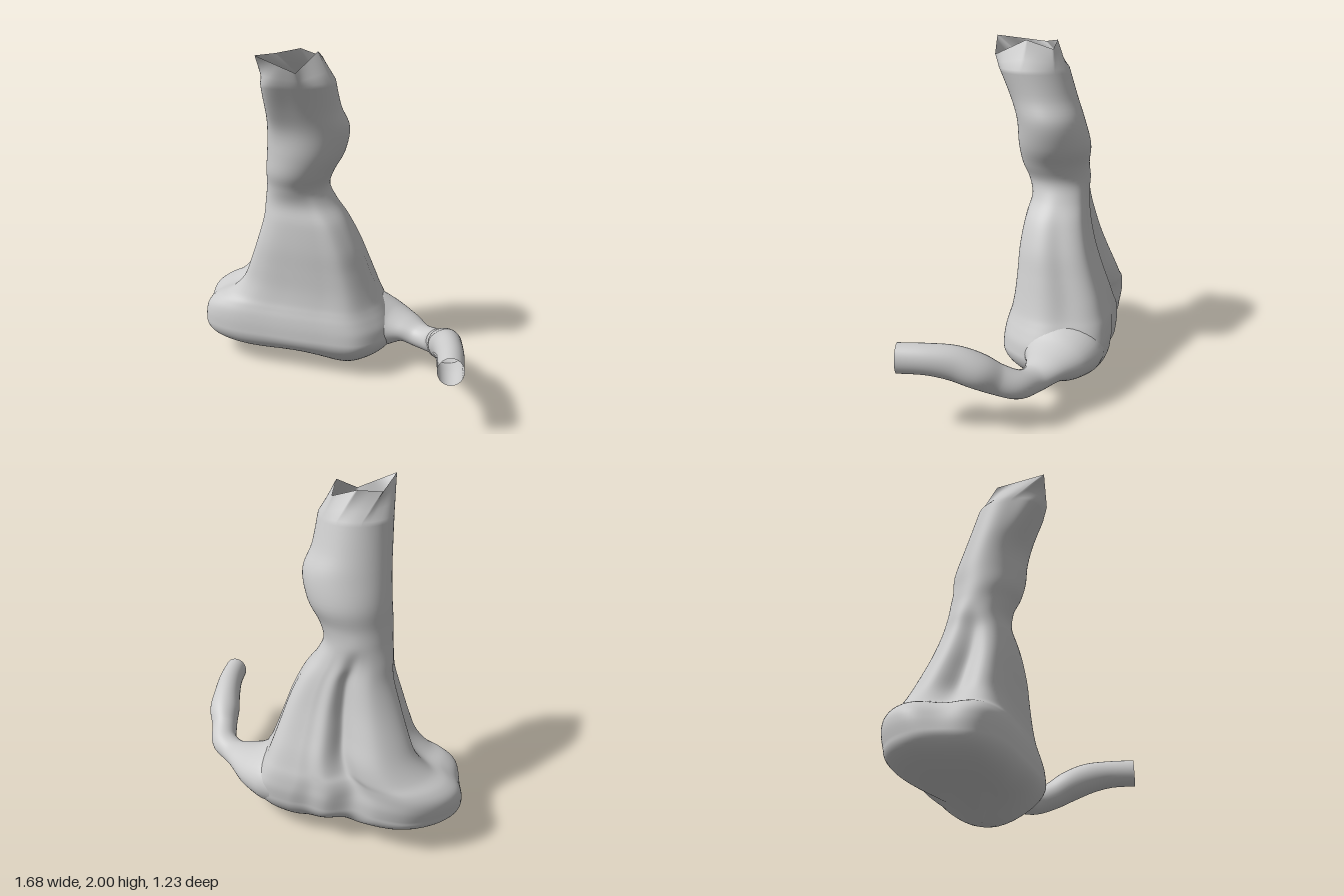
import * as THREE from 'three';

const SEG = 140;
const TAU = Math.PI * 2;
const { clamp, lerp, smoothstep } = THREE.MathUtils;

// Body levels from low to high: y, xMin, xMax, zBack, zFront, roundness (1 = ellipse), fold depth
const LEVELS = [
  [0.24, -0.84, 0.42, -0.598, 0.115, 0, 0.03],
  [0.31, -0.845, 0.41, -0.612, 0.108, 0, 0.07],
  [0.37, -0.83, 0.385, -0.615, 0.095, 0.02, 0.11],
  [0.42, -0.775, 0.36, -0.61, 0.08, 0.05, 0.15],
  [0.47, -0.68, 0.335, -0.595, 0.068, 0.1, 0.2],
  [0.56, -0.595, 0.30, -0.565, 0.055, 0.15, 0.25],
  [0.68, -0.54, 0.255, -0.515, 0.045, 0.2, 0.26],
  [0.82, -0.485, 0.20, -0.46, 0.035, 0.25, 0.23],
  [0.97, -0.43, 0.12, -0.415, 0.01, 0.4, 0.16],
  [1.08, -0.41, 0.04, -0.39, -0.025, 0.7, 0.07],
  [1.18, -0.39, -0.005, -0.38, -0.01, 1, 0],
  [1.28, -0.385, 0.025, -0.37, 0.03, 1, 0],
  [1.40, -0.375, 0.09, -0.375, 0.05, 1, 0],
  [1.55, -0.365, 0.12, -0.335, 0.06, 1, 0],
  [1.68, -0.36, 0.075, -0.29, 0.10, 1, 0],
  [1.84, -0.355, 0.05, -0.24, 0.165, 1, 0],
];

// Outline of the wide foot, x and z, turning from +x towards +z
const FOOT = [
  [0.47, -0.15], [0.39, 0.0], [0.24, 0.1], [0, 0.09], [-0.3, 0.055], [-0.6, 0.01], [-0.77, -0.07],
  [-0.84, -0.22], [-0.83, -0.4], [-0.7, -0.54], [-0.53, -0.61], [-0.35, -0.6], [-0.2, -0.56],
  [-0.04, -0.575], [0.08, -0.54], [0.2, -0.53], [0.37, -0.465], [0.45, -0.31],
];

// Torn neck rim: share of the turn, then x, y, z
const RIM = [
  [0, -0.04, 2.0, 0], [0.18, -0.13, 1.91, 0.185], [0.37, -0.345, 2.0, 0.195],
  [0.6, -0.3, 1.97, -0.1], [0.75, -0.17, 1.99, -0.17], [0.88, -0.04, 1.95, -0.15], [1, -0.04, 2.0, 0],
];

// Smooth interpolation along a list of number rows
function sampleRows(rows, t) {
  const i = Math.min(Math.floor(t), rows.length - 2), f = t - i;
  const row = k => rows[clamp(k, 0, rows.length - 1)];
  const [a, b, c, d] = [row(i - 1), row(i), row(i + 1), row(i + 2)];
  return b.map((v, k) => v + 0.5 * f * (c[k] - a[k]
    + f * (2 * a[k] - 5 * v + 4 * c[k] - d[k] + f * (3 * (v - c[k]) + d[k] - a[k]))));
}

// Skin over a list of closed rings, ordered upwards
function skin(rings) {
  const pos = [], index = [], n = rings[0].length;
  rings.forEach(r => r.forEach(p => pos.push(p.x, p.y, p.z)));
  for (let j = 0; j < rings.length - 1; j++) {
    for (let i = 0; i < n; i++) {
      const a = j * n + i, b = j * n + (i + 1) % n;
      index.push(a, a + n, b, b, a + n, b + n);
    }
  }
  const g = new THREE.BufferGeometry();
  g.setAttribute('position', new THREE.Float32BufferAttribute(pos, 3));
  g.setIndex(index);
  g.computeVertexNormals();
  return g;
}

// Foot outline scaled to a -1..1 square
const outline = new THREE.CatmullRomCurve3(
  FOOT.map(([x, z]) => new THREE.Vector3((x + 0.185) / 0.655, 0, (z + 0.255) / 0.355)), true);

const bump = (angle, centre, width) => {
  const d = Math.atan2(Math.sin(angle - centre), Math.cos(angle - centre));
  return Math.exp(-((d / width) ** 2));
};

function levelRing(t) {
  const [y, x0, x1, z0, z1, round, fold] = sampleRows(LEVELS, t);
  return Array.from({ length: SEG }, (_, i) => {
    const p = outline.getPoint(i / SEG);
    p.lerp(p.clone().normalize(), clamp(round, 0, 1));
    const a = Math.atan2(p.z, p.x);
    // Hanging folds: deep back groove, shallow right-back hollow, lobe hollow, side panel dip
    const dent = 1.35 * bump(a, -1.58, 0.23) + 0.4 * bump(a, -0.95, 0.3)
      + 0.8 * bump(a, Math.PI, 0.35) + 0.25 * bump(a, 0.05, 0.3);
    // Front corner that sharpens towards the top of the neck
    const corner = 0.22 * smoothstep(y, 1.45, 1.84) * bump(a, 2.3, 0.4);
    p.multiplyScalar(1 - fold * dent + corner);
    return new THREE.Vector3((x0 + x1) / 2 + p.x * (x1 - x0) / 2, y, (z0 + z1) / 2 + p.z * (z1 - z0) / 2);
  });
}

function rimRing() {
  return Array.from({ length: SEG }, (_, i) => {
    const u = i / SEG;
    const k = RIM.findIndex(r => r[0] > u);
    const a = RIM[k - 1], b = RIM[k], f = (u - a[0]) / (b[0] - a[0]);
    return new THREE.Vector3(...[1, 2, 3].map(c => lerp(a[c], b[c], f)));
  });
}

// Uneven underside, lowest under the +x half
const underside = (x, z) => 0.09
  - 0.09 * Math.exp(-(((x - 0.12) / 0.2) ** 2) - ((z + 0.2) / 0.25) ** 2)
  + 0.2 * (z + 0.2) ** 2;

function bodyGeometry() {
  const rings = [], base = levelRing(0), steps = 20;
  // Rounded bottom, fuller under the -x lobe
  for (let k = 0; k < steps; k++) {
    const a = (1 - k / steps) * Math.PI / 2;
    rings.push(base.map(p => {
      const s = Math.max(0, Math.cos(a)) ** lerp(0.36, 0.58, smoothstep(p.x, -0.8, 0));
      const x = 0.05 + (p.x - 0.05) * s, z = -0.22 + (p.z + 0.22) * s;
      return new THREE.Vector3(x, lerp(p.y, underside(x, z), Math.sin(a)), z);
    }));
  }
  // Draped sides and neck
  const n = (LEVELS.length - 1) * 5;
  for (let k = 0; k <= n; k++) rings.push(levelRing(k / 5));
  // Open torn rim
  const last = rings[rings.length - 1], rim = rimRing();
  for (const f of [0.35, 0.7, 1]) rings.push(last.map((p, i) => p.clone().lerp(rim[i], f)));
  return skin(rings);
}

// Spout path, flared into the body: x, y, z, half width, half height
const SPOUT = [
  [0.22, 0.265, -0.22, 0.27, 0.2], [0.31, 0.265, -0.215, 0.25, 0.172], [0.4, 0.265, -0.195, 0.195, 0.128],
  [0.5, 0.268, -0.15, 0.13, 0.083], [0.59, 0.25, -0.09, 0.085, 0.072],
  [0.68, 0.265, -0.01, 0.08, 0.078], [0.71, 0.31, 0.1, 0.08, 0.085], [0.735, 0.37, 0.2, 0.096, 0.095],
  [0.75, 0.42, 0.32, 0.085, 0.095], [0.765, 0.445, 0.46, 0.077, 0.085], [0.77, 0.448, 0.615, 0.072, 0.083],
];

function spoutGeometry() {
  const rings = [], n = 70, seg = 36, up = new THREE.Vector3(0, 1, 0);
  const at = t => sampleRows(SPOUT, clamp(t, 0, 1) * (SPOUT.length - 1));
  const centre = t => new THREE.Vector3(...at(t).slice(0, 3));
  for (let k = 0; k <= n; k++) {
    const t = k / n, [, , , width, height] = at(t);
    const dir = centre(t + 0.01).sub(centre(t - 0.01)).normalize();
    const side = new THREE.Vector3().crossVectors(up, dir).normalize();
    const top = new THREE.Vector3().crossVectors(dir, side);
    rings.push(Array.from({ length: seg }, (_, i) => {
      const a = -i / seg * TAU;
      return centre(t).addScaledVector(side, Math.cos(a) * width).addScaledVector(top, Math.sin(a) * height);
    }));
  }
  return skin(rings);
}

export function createModel() {
  const group = new THREE.Group();
  const material = new THREE.MeshStandardMaterial({ color: 0xcccccc, side: THREE.DoubleSide });
  const add = (name, geometry) => {
    const mesh = new THREE.Mesh(geometry, material);
    mesh.name = name;
    group.add(mesh);
  };
  add('bodyWithNeck', bodyGeometry());
  add('sideSpout', spoutGeometry());
  return group;
}
